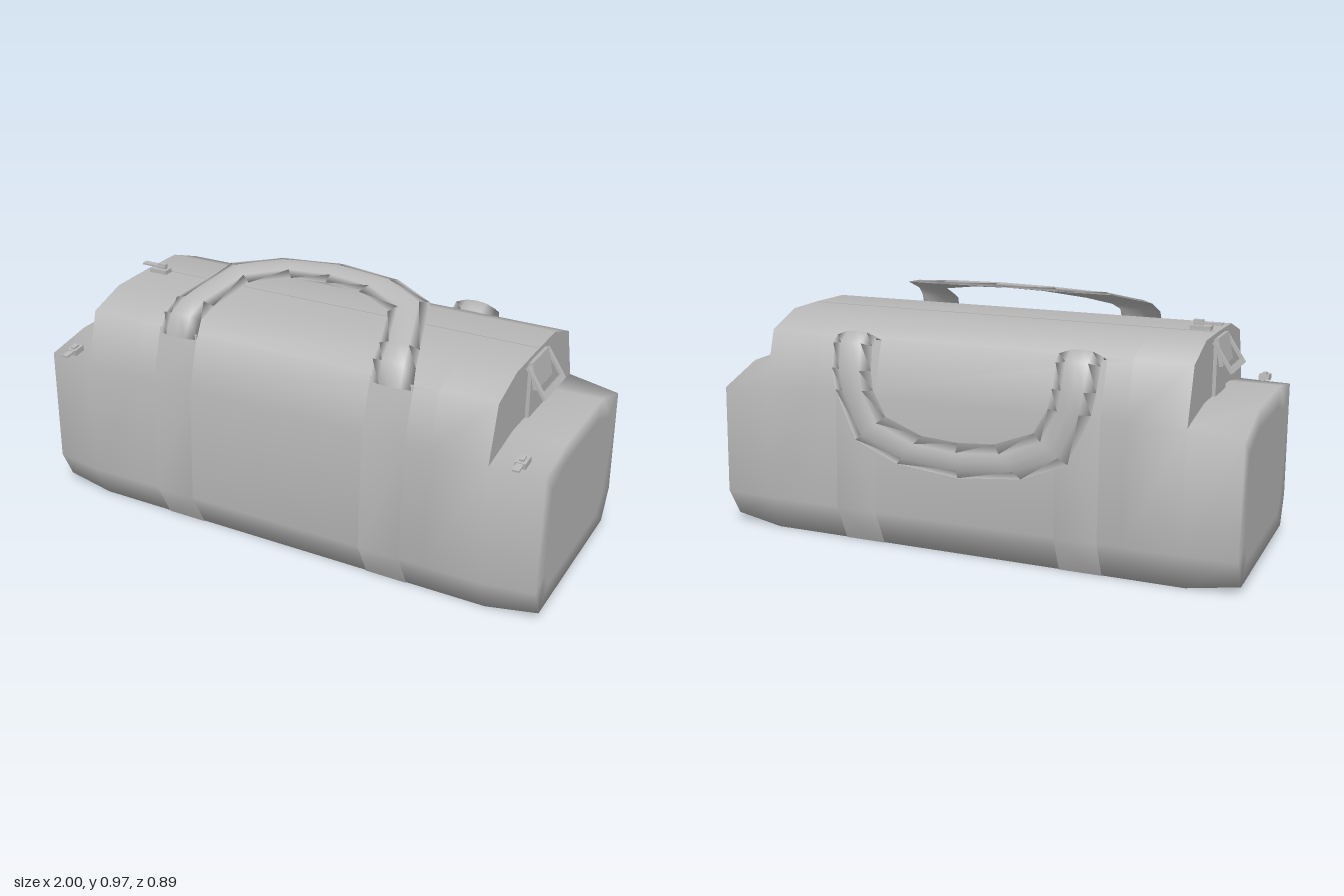
import * as THREE from 'three';

const fabric = new THREE.MeshStandardMaterial({ color: 0xb8b8b8, side: THREE.DoubleSide });
fabric.name = 'grey';

function add(parent, geometry, name, x = 0, y = 0, z = 0) {
  const mesh = new THREE.Mesh(geometry, fabric);
  mesh.name = name;
  mesh.position.set(x, y, z);
  parent.add(mesh);
  return mesh;
}

function indexed(vertices, index) {
  const g = new THREE.BufferGeometry();
  g.setAttribute('position', new THREE.Float32BufferAttribute(vertices.flat(), 3));
  g.setIndex(index);
  g.computeVertexNormals();
  return g;
}

// Cross-sections as [z, y], from the front bottom edge over the top to the back
const LOWER = [[.37, 0], [.44, .14], [.42, .58], [.21, .615], [-.16, .615], [-.375, .58], [-.39, .14], [-.325, 0]];
const END = [[.36, .03], [.41, .14], [.40, .58], [.21, .615], [-.16, .615], [-.365, .55], [-.38, .14], [-.315, .03]];
const INNER = [[.28, .1], [.33, .17], [.32, .5], [.19, .54], [-.14, .54], [-.28, .49], [-.29, .17], [-.23, .1]];
const DOME = [[.36, .78], [.21, .83], [.025, .835], [-.16, .835], [-.31, .78]];
const STEP = .81;

// Smooth shell: full-height middle with lower ends
function bodyGeometry() {
  const v = [], idx = [];
  const quad = (a, b, c, d) => idx.push(a, b, c, a, c, d);
  const ring = (x, pts) => pts.map(([z, y]) => v.push([x, y, z]) - 1);
  const centre = LOWER.map(() => [.02, .3]);
  const stations = [[-1, centre], [-1, INNER], [-1, END], [-STEP, LOWER], [-.6, LOWER], [.6, LOWER],
    [STEP, LOWER], [1, END], [1, INNER], [1, centre]];
  const rings = stations.map(([x, pts]) => ring(x, pts));
  const full = rings.map((r, k) => k >= 3 && k <= 6
    ? [r[0], r[1], r[2], ...ring(stations[k][0], DOME), r[5], r[6], r[7]] : null);
  for (let k = 0; k < rings.length - 1; k++) {
    const middle = k >= 3 && k <= 5;
    const a = middle ? full[k] : rings[k], b = middle ? full[k + 1] : rings[k + 1];
    a.forEach((_, i) => {
      const j = (i + 1) % a.length;
      quad(a[i], b[i], b[j], a[j]);
    });
  }
  return indexed(v, idx);
}

// Padded band through rows of [outer, inner, bulge direction], mirrored across x
function bandGeometry(half, bulge) {
  const flip = ([x, y, z]) => [-x, y, z];
  const rows = [...half, ...half.slice(0, -1).reverse().map(([o, i, n]) => [flip(o), flip(i), n])];
  const v = [], idx = [];
  for (const [o, i, n] of rows) {
    const at = (t, h) => o.map((c, k) => c + (i[k] - c) * t + n[k] * h);
    v.push(o, at(.25, bulge * .8), at(.5, bulge), at(.75, bulge * .8), i, at(.5, bulge * .25));
  }
  for (let r = 0; r < rows.length - 1; r++) {
    for (let k = 0; k < 6; k++) {
      const a = r * 6 + k, b = r * 6 + (k + 1) % 6;
      idx.push(a, a + 6, b + 6, a, b + 6, b);
    }
  }
  const last = (rows.length - 1) * 6;
  for (let k = 1; k < 5; k++) {
    idx.push(0, k, k + 1, last, last + k + 1, last + k);
  }
  return indexed(v, idx);
}

// Thin webbing that follows the side of the bag
function strapGeometry(points, out) {
  const v = [], idx = [];
  points.forEach(([z, y], k) => {
    v.push([-.08, y, z + out], [.08, y, z + out]);
    const a = 2 * k;
    if (k < points.length - 1) {
      if (out > 0) idx.push(a, a + 1, a + 3, a, a + 3, a + 2);
      else idx.push(a, a + 3, a + 1, a, a + 2, a + 3);
    }
  });
  return indexed(v, idx);
}

function rectangle(PathClass, x0, y0, x1, y1) {
  return new PathClass([[x0, y0], [x1, y0], [x1, y1], [x0, y1]].map(p => new THREE.Vector2(...p)));
}

export function createModel() {
  const bag = new THREE.Group();
  bag.name = 'duffelBag';
  add(bag, bodyGeometry(), 'body');
  add(bag, new THREE.BoxGeometry(1.6, .004, .006), 'topSeam', 0, .835, 0);

  // Carry handles: one folded over the top, one hanging at the back
  const up = [0, .9, .4], top = [0, 1, .15], back = [0, 0, -1];
  add(bag, bandGeometry([
    [[.51, .76, .368], [.35, .76, .368], [0, .2, 1]],
    [[.505, .83, .34], [.345, .83, .34], [0, .6, .8]],
    [[.49, .87, .28], [.335, .86, .27], up],
    [[.41, .935, .03], [.285, .905, .11], up],
    [[.24, .952, -.07], [.14, .93, .05], top],
    [[0, .96, -.10], [0, .935, .04], top],
  ], .018), 'frontHandle');
  add(bag, bandGeometry([
    [[.51, .77, -.31], [.35, .77, -.31], [0, 1, .5]],
    [[.51, .79, -.35], [.35, .79, -.35], [0, 1, 0]],
    [[.51, .765, -.385], [.35, .765, -.385], [0, .6, -.8]],
    [[.505, .68, -.41], [.345, .68, -.41], back],
    [[.49, .60, -.415], [.335, .61, -.415], back],
    [[.41, .42, -.42], [.285, .52, -.42], back],
    [[.24, .35, -.425], [.14, .465, -.425], back],
    [[0, .325, -.425], [0, .455, -.425], back],
  ], .02), 'backHandle');

  for (const s of [-1, 1]) {
    // Webbing below the handles
    add(bag, strapGeometry([[.37, 0], [.44, .14], [.42, .58], [.36, .78]], .004), 'frontStrap', s * .43);
    add(bag, strapGeometry([[-.325, 0], [-.39, .14], [-.375, .58], [-.31, .78]], -.004), 'backStrap', s * .43);

    // Upright wall above the lower end
    const outline = [LOWER[2], ...DOME, LOWER[5], LOWER[4], LOWER[3]];
    const wall = new THREE.ShapeGeometry(new THREE.Shape(outline.map(([z, y]) => new THREE.Vector2(-s * z, y))));
    add(bag, wall.rotateY(s * Math.PI / 2), 'stepWall', s * STEP);

    // End tab with a tilted rectangular ring
    const tab = new THREE.Group();
    tab.name = 'endBuckle';
    tab.position.set(s * STEP, .82, .025);
    tab.rotation.y = s * Math.PI / 2;
    bag.add(tab);
    add(tab, new THREE.BoxGeometry(.152, .205, .014), 'tab', 0, -.104, .006);
    add(tab, new THREE.BoxGeometry(.152, .1, .014), 'tabFold', 0, -.047, .019).rotation.x = -.2;
    const frame = rectangle(THREE.Shape, -.103, -.126, .103, 0);
    frame.holes.push(rectangle(THREE.Path, -.084, -.104, .084, -.018));
    const ring = add(tab, new THREE.ExtrudeGeometry(frame, { depth: .01, bevelEnabled: false }), 'ring', 0, -.01, 0);
    ring.rotation.x = -.58;

    // Small side zip pull
    const pull = new THREE.Group();
    pull.name = 'sideZip';
    pull.position.set(s * .91, .6, .38);
    pull.rotation.x = .12;
    bag.add(pull);
    add(pull, new THREE.BoxGeometry(.038, .022, .05), 'slider', 0, .003, -.005);
    add(pull, new THREE.BoxGeometry(.016, .014, .03), 'sliderBridge', 0, .014, -.005);
    add(pull, new THREE.BoxGeometry(.024, .007, .07), 'pullTab', 0, .008, .025);
  }

  // Main zip slider on the top seam
  add(bag, new THREE.BoxGeometry(.075, .016, .04), 'topSlider', -.745, .843, .025);
  add(bag, new THREE.BoxGeometry(.035, .02, .016), 'topSliderBridge', -.735, .861, .025);
  add(bag, new THREE.BoxGeometry(.1, .007, .026), 'topPullTab', -.77, .86, .025);
  return bag;
}
